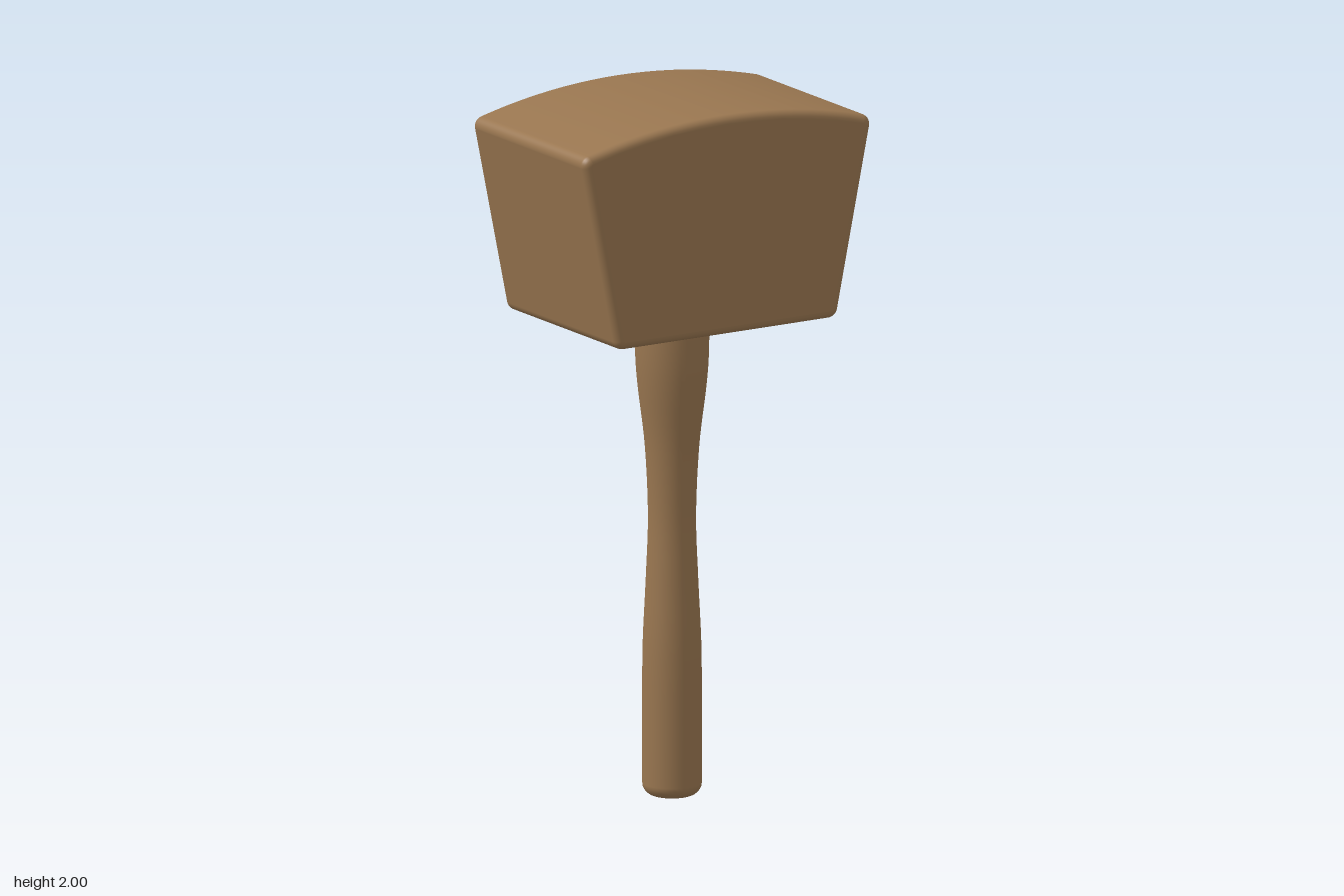
import * as THREE from 'three';
import { mergeVertices } from 'three/addons/utils/BufferGeometryUtils.js';

const wood = new THREE.MeshStandardMaterial({ color: 0x997650 });

// Tapered block with a crowned top and softly rounded edges
function createHead() {
  const bevel = 0.022, depth = 0.584 - 2 * bevel, e = 0.007;
  const bottom = 1.375 + bevel, bx = 0.344; // bottom corner
  const tx = 0.452, ty = 1.919;             // top corner
  const cy = 0.2, radius = 1.778;           // arc of the crown
  const dx = e * 0.2, dy = e * 0.98;        // step along the slanted sides
  const a = Math.asin((tx - e) / radius);

  const s = new THREE.Shape();
  s.moveTo(-bx + e, bottom);
  s.lineTo(bx - e, bottom);
  s.quadraticCurveTo(bx, bottom, bx + dx, bottom + dy);
  s.lineTo(tx - dx, ty - dy);
  s.quadraticCurveTo(tx, ty, radius * Math.sin(a), cy + radius * Math.cos(a));
  s.absarc(0, cy, radius, Math.PI / 2 - a, Math.PI / 2 + a, false);
  s.quadraticCurveTo(-tx, ty, -tx + dx, ty - dy);
  s.lineTo(-bx - dx, bottom + dy);
  s.quadraticCurveTo(-bx, bottom, -bx + e, bottom);

  let geo = new THREE.ExtrudeGeometry(s, {
    depth, bevelEnabled: true, bevelSize: bevel, bevelThickness: bevel,
    bevelSegments: 5, curveSegments: 10,
  });
  geo.translate(0, 0, -depth / 2);

  // Weld so that the rounded edges shade smoothly
  geo.deleteAttribute('uv');
  geo.deleteAttribute('normal');
  geo = mergeVertices(geo, 1e-5);
  geo.computeVertexNormals();

  const head = new THREE.Mesh(geo, wood);
  head.name = 'head';
  return head;
}

// Turned handle with a narrow waist and a rounded butt
function createHandle() {
  const profile = [new THREE.Vector2(0, 0)];
  const r = 0.083, round = 0.035;
  for (let i = 0; i <= 6; i++) {
    const t = (i / 6) * Math.PI / 2;
    profile.push(new THREE.Vector2(r - round + round * Math.sin(t), round - round * Math.cos(t)));
  }
  const grip = new THREE.SplineCurve([
    [0.083, 0.2], [0.082, 0.42], [0.073, 0.62], [0.067, 0.8], [0.076, 1.0],
    [0.096, 1.17], [0.103, 1.27], [0.104, 1.4],
  ].map(([x, y]) => new THREE.Vector2(x, y)));
  profile.push(...grip.getPoints(32), new THREE.Vector2(0, 1.4));

  const handle = new THREE.Mesh(new THREE.LatheGeometry(profile, 40), wood);
  handle.name = 'handle';
  return handle;
}

export function createModel() {
  const mallet = new THREE.Group();
  mallet.name = 'mallet';
  mallet.add(createHead(), createHandle());
  return mallet;
}
